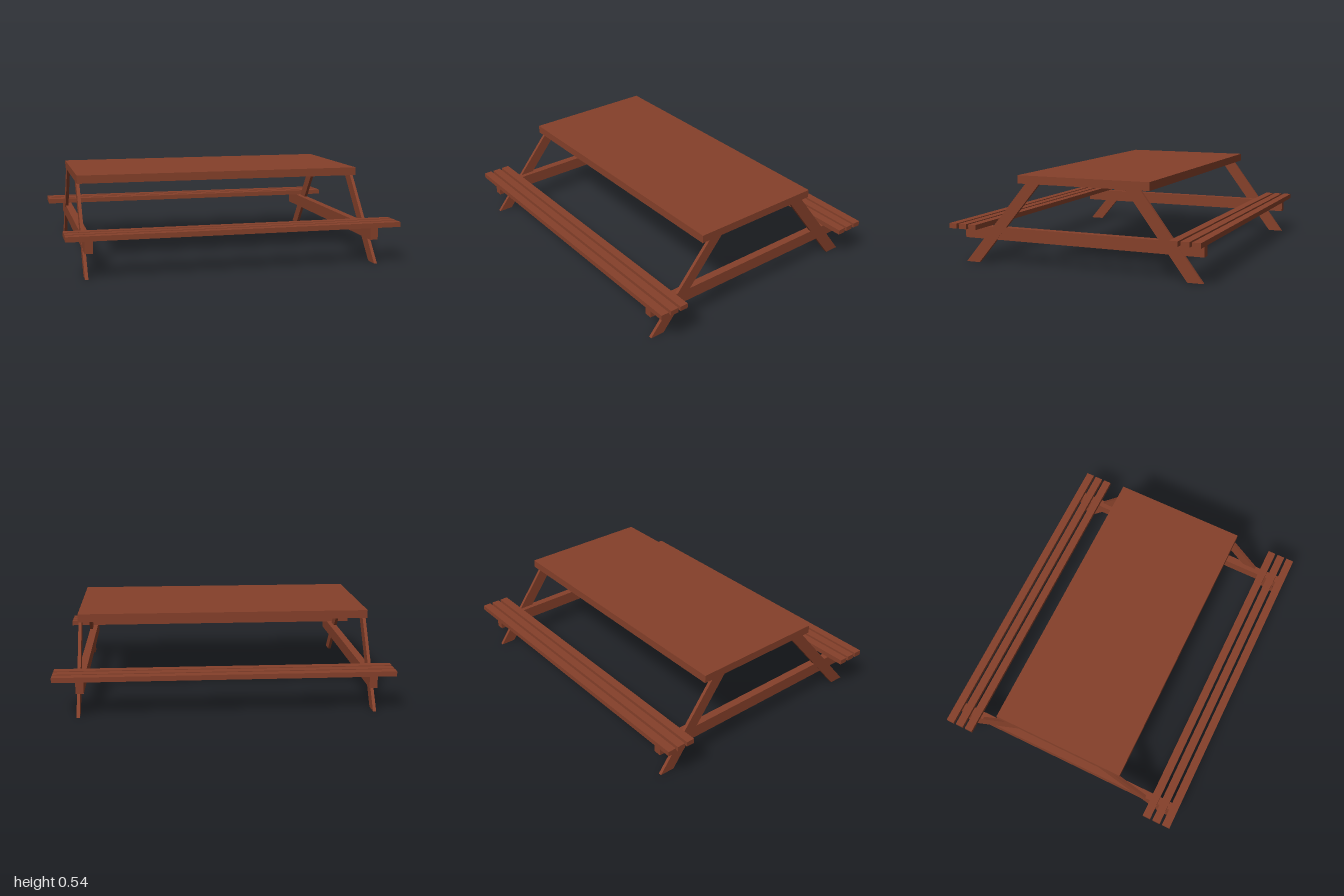
import * as THREE from 'three';

export function createModel() {
  const group = new THREE.Group();
  const wood = new THREE.MeshStandardMaterial({ color: 0x85402a, flatShading: true });

  const add = (name, geometry) => {
    const mesh = new THREE.Mesh(geometry, wood);
    mesh.name = name;
    group.add(mesh);
    return mesh;
  };

  // Box given by its limits on each axis
  const plank = (name, [x0, x1], [y0, y1], [z0, z1]) =>
    add(name, new THREE.BoxGeometry(x1 - x0, y1 - y0, z1 - z0))
      .position.set((x0 + x1) / 2, (y0 + y1) / 2, (z0 + z1) / 2);

  // Slanted leg: a (z, y) outline extruded along x
  const leg = (name, outline, x0, x1) => {
    const shape = new THREE.Shape(outline.map(([z, y]) => new THREE.Vector2(-z, y)));
    const geometry = new THREE.ExtrudeGeometry(shape, { depth: x1 - x0, bevelEnabled: false });
    geometry.rotateY(Math.PI / 2).translate(x0, 0, 0);
    add(name, geometry);
  };

  // Table top
  plank('tableTop', [-0.894, 0.867], [0.494, 0.543], [-0.438, 0.394]);

  // Legs and cross beams at each end
  const frontLeg = [[0.759, 0], [0.67, 0], [0.253, 0.496], [0.342, 0.496]];
  const backLeg = [[-0.663, 0], [-0.755, 0], [-0.383, 0.496], [-0.291, 0.496]];
  const ends = [
    { side: 'right', legX: [-0.894, -0.875], beamX: [-0.893, -0.846] },
    { side: 'left', legX: [0.848, 0.867], beamX: [0.819, 0.866] },
  ];
  for (const { side, legX, beamX } of ends) {
    leg(`${side}FrontLeg`, frontLeg, ...legX);
    leg(`${side}BackLeg`, backLeg, ...legX);
    plank(`${side}CrossBeam`, beamX, [0.148, 0.224], [-0.761, 0.761]);
  }

  // Three slats for each bench
  for (const [name, sign] of [['front', 1], ['back', -1]]) {
    for (let i = 0; i < 3; i++) {
      const z = sign * (0.63 + i * 0.0657);
      plank(`${name}BenchSlat${i + 1}`, [-1, 1], [0.224, 0.254], [z - 0.025, z + 0.025]);
    }
  }

  return group;
}
